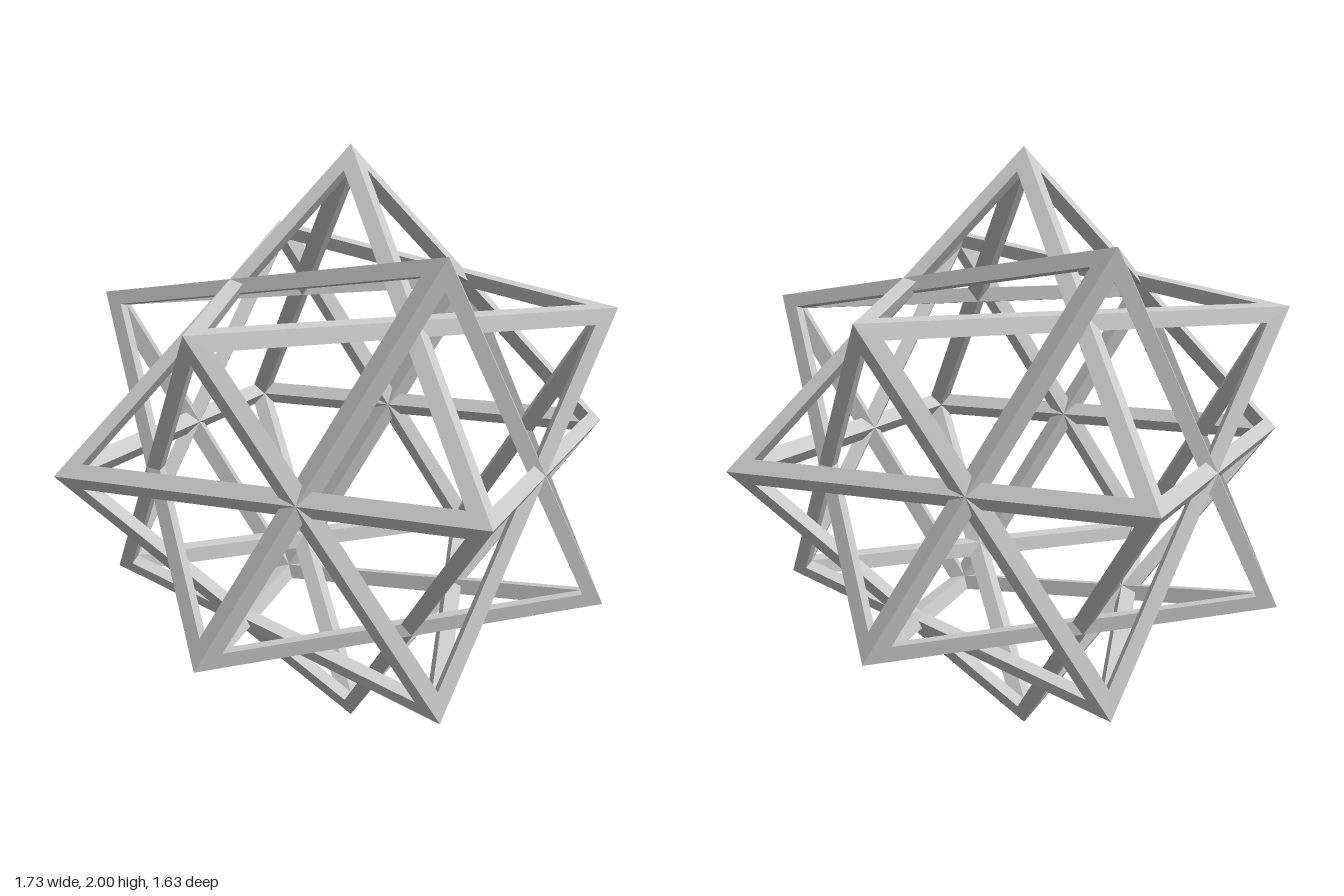
import * as THREE from 'three';

const BORDER = 0.05;   // width of the flat strip along each face edge
const DEPTH = 0.05;    // thickness of the struts below the faces

// Open octahedral frame with mitred struts of kite-shaped section; axes are three orthogonal unit vectors
function octahedronFrame(axes) {
  const inset = 1 - BORDER / (Math.SQRT2 / Math.sqrt(12));
  const inner = 1 - DEPTH * Math.sqrt(3);
  const pos = [];
  const quad = (a, b, c, d) => [a, b, c, a, c, d].forEach(v => pos.push(v.x, v.y, v.z));

  for (const sx of [1, -1]) for (const sy of [1, -1]) for (const sz of [1, -1]) {
    const tri = [sx, sy, sz].map((s, i) => axes[i].clone().multiplyScalar(s));
    // keep the corners counter-clockwise seen from outside
    if (tri[0].clone().cross(tri[1]).dot(tri[2]) < 0) tri.reverse();
    const centre = tri[0].clone().add(tri[1]).add(tri[2]).divideScalar(3);
    const hole = tri.map(v => centre.clone().lerp(v, inset));
    const core = tri.map(v => v.clone().multiplyScalar(inner));
    for (let i = 0; i < 3; i++) {
      const j = (i + 1) % 3;
      quad(tri[i], tri[j], hole[j], hole[i]);     // outer strip
      quad(hole[i], hole[j], core[j], core[i]);   // inner side of the strut
    }
  }
  const geo = new THREE.BufferGeometry();
  geo.setAttribute('position', new THREE.Float32BufferAttribute(pos, 3));
  geo.computeVertexNormals();
  return geo;
}

export function createModel() {
  const group = new THREE.Group();
  group.name = 'threeOctahedraCompound';
  const material = new THREE.MeshStandardMaterial({ color: 0xcccccc, flatShading: true });

  // Shared reference axes, turned so that one frame stands on a corner
  const up = new THREE.Vector3(0, 1, 0);
  const a = new THREE.Vector3(1 / Math.sqrt(3), 0, Math.sqrt(2 / 3));
  const b = new THREE.Vector3(Math.sqrt(2 / 3), 0, -1 / Math.sqrt(3));
  const ref = [
    b,
    a.clone().add(up).normalize(),
    a.clone().sub(up).normalize(),
  ];

  // Each frame is turned 45 degrees about a different reference axis
  ['uprightFrame', 'firstTiltedFrame', 'secondTiltedFrame'].forEach((name, i) => {
    const p = ref[(i + 1) % 3], q = ref[(i + 2) % 3];
    const axes = [ref[i], p.clone().add(q).normalize(), p.clone().sub(q).normalize()];
    const mesh = new THREE.Mesh(octahedronFrame(axes), material);
    mesh.name = name;
    mesh.position.y = 1;
    group.add(mesh);
  });
  return group;
}
